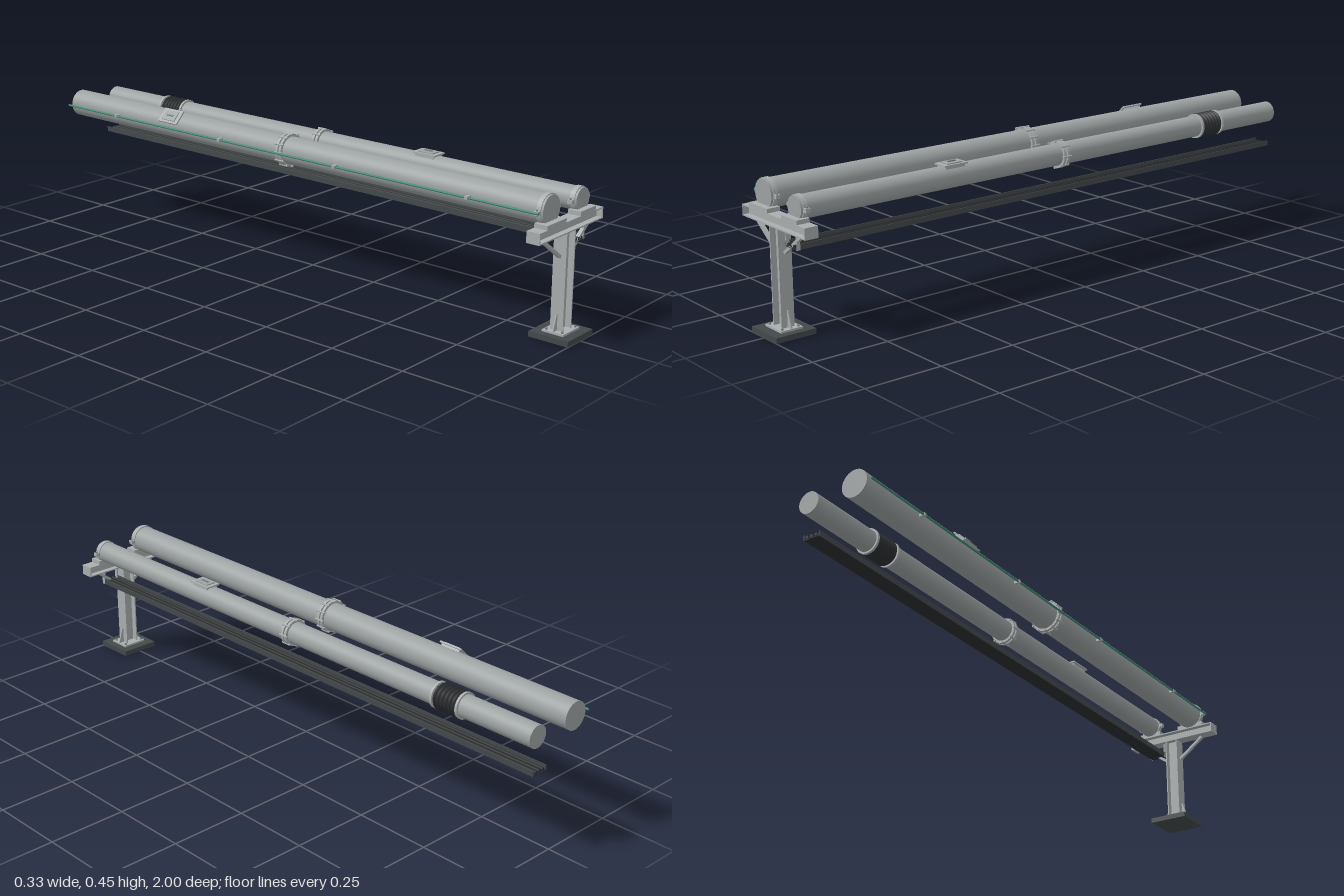
import * as THREE from 'three';

const mat = (name, color) => {
  const m = new THREE.MeshStandardMaterial({ color });
  m.name = name;
  return m;
};

export function createModel() {
  const root = new THREE.Group();
  const pipeGrey = mat('pipe grey', 0x9da2a2);
  const steel = mat('galvanised steel', 0xa9aeae);
  const boltGrey = mat('bolt grey', 0x7e8384);
  const padDark = mat('dark concrete', 0x43494b);
  const rubber = mat('black rubber', 0x2b2d2f);
  const green = mat('green conduit', 0x3f8a73);

  const add = (parent, name, geo, m, x = 0, y = 0, z = 0) => {
    const mesh = new THREE.Mesh(geo, m);
    mesh.name = name;
    mesh.position.set(x, y, z);
    parent.add(mesh);
    return mesh;
  };
  const group = (name, x = 0, y = 0, z = 0, parent = root) => {
    const g = new THREE.Group();
    g.name = name;
    g.position.set(x, y, z);
    parent.add(g);
    return g;
  };
  const box = (w, h, d) => new THREE.BoxGeometry(w, h, d);
  const rodZ = (r, len, seg = 48) => new THREE.CylinderGeometry(r, r, len, seg).rotateX(Math.PI / 2);
  const zc = 0.934;

  // Foundation and column
  const post = group('supportPost', 0, 0, zc);
  add(post, 'foundationPad', box(0.132, 0.017, 0.132), padDark, 0, 0.0085);
  add(post, 'basePlate', box(0.086, 0.006, 0.072), steel, 0, 0.02);
  add(post, 'columnWeb', box(0.038, 0.294, 0.005), steel, 0, 0.17);
  const tri = new THREE.Shape([[0, 0.023], [0.02, 0.023], [0.004, 0.075], [0, 0.075]]
    .map(p => new THREE.Vector2(...p)));
  for (const s of [-1, 1]) {
    add(post, 'columnFlange', box(0.004, 0.294, 0.043), steel, s * 0.021, 0.17);
    const gusset = new THREE.ExtrudeGeometry(tri, { depth: 0.004, bevelEnabled: false });
    gusset.translate(0.023, 0, -0.002);
    if (s < 0) gusset.rotateY(Math.PI);
    add(post, 'gusset', gusset, steel);
    for (const t of [-1, 1])
      add(post, 'anchorBolt', new THREE.CylinderGeometry(0.004, 0.004, 0.006, 6), boltGrey, s * 0.034, 0.025, t * 0.027);
    // Diagonal brace under the beam
    const brace = add(post, 'brace', box(0.112, 0.009, 0.012), steel, s * 0.07, 0.279, 0);
    brace.rotation.z = s * Math.atan2(0.067, 0.09);
  }

  // Cross beam
  const beam = group('crossBeam', 0, 0.3345, zc);
  add(beam, 'beamWeb', box(0.326, 0.03, 0.005), steel);
  for (const s of [-1, 1]) {
    add(beam, 'beamFlange', box(0.326, 0.004, 0.043), steel, 0, s * 0.0155);
    add(beam, 'beamEndPlate', box(0.003, 0.035, 0.044), steel, s * 0.1635);
  }

  // Pipe with its saddle, strap and bolted joint
  const makePipe = (name, x, y, r, bolts) => {
    const g = group(name, x, y);
    add(g, 'pipe', rodZ(r, 1.936, 64), pipeGrey, 0, 0, -0.032);
    add(g, 'saddle', box(r * 2 + 0.01, 0.013, 0.043), steel, 0, 0.3585 - y, zc);
    add(g, 'strap', rodZ(r + 0.003, 0.015), steel, 0, 0, 0.922);
    for (const s of [-1, 1]) {
      add(g, 'strapEar', box(0.014, 0.012, 0.015), steel, s * (r + 0.007), 0, 0.922);
      add(g, 'strapBolt', new THREE.CylinderGeometry(0.003, 0.003, 0.02, 6), boltGrey, s * (r + 0.009), 0, 0.922);
      add(g, 'jointFlange', rodZ(r + 0.008, 0.009), steel, 0, 0, -0.032 + s * 0.007);
    }
    for (let i = 0; i < bolts; i++) {
      const a = (i / bolts) * Math.PI * 2;
      add(g, 'jointBolt', rodZ(0.0035, 0.034, 6), steel,
        Math.cos(a) * (r + 0.0075), Math.sin(a) * (r + 0.0075), -0.032);
    }
    return g;
  };
  const large = makePipe('largePipe', -0.079, 0.396, 0.044, 12);
  const small = makePipe('smallPipe', 0.084, 0.389, 0.035, 8);

  // Access hatches, tilted around the pipe axis
  const hatch = (parent, r, z, angle) => {
    const g = group('accessHatch', 0, 0, z, parent);
    g.rotation.z = angle;
    add(g, 'hatchNeck', box(0.042, 0.012, 0.07), steel, 0, r - 0.003);
    add(g, 'hatchLid', box(0.052, 0.005, 0.084), steel, 0, r + 0.004);
    add(g, 'hatchPanel', box(0.036, 0.003, 0.056), pipeGrey, 0, r + 0.008);
    add(g, 'hatchHandle', box(0.005, 0.004, 0.028), boltGrey, 0, r + 0.011);
  };
  hatch(large, 0.044, -0.52, Math.PI / 4);
  hatch(small, 0.035, 0.39, 0);

  // Rubber expansion bellows
  const profile = [];
  for (let i = 0; i <= 48; i++)
    profile.push(new THREE.Vector2(0.0385 - 0.003 * Math.cos((i / 48) * Math.PI * 12), -0.043 + (0.086 * i) / 48));
  add(small, 'bellows', new THREE.LatheGeometry(profile, 48).rotateX(Math.PI / 2), rubber, 0, 0, -0.69);
  for (const s of [-1, 1])
    add(small, 'bellowsFlange', rodZ(0.041, 0.008), steel, 0, 0, -0.69 + s * 0.048);

  // Conduit clipped along the large pipe
  add(large, 'conduit', rodZ(0.0035, 1.93, 12), green, -0.058, 0, -0.035);
  for (const z of [-0.76, -0.28, 0.2, 0.69])
    add(large, 'conduitClip', box(0.02, 0.009, 0.01), steel, -0.053, 0, z);

  // Cable tray hung below the beam
  const tray = group('cableTray', 0.0655, 0, -0.03);
  add(tray, 'trayFloor', box(0.056, 0.002, 1.94), rubber, 0, 0.27);
  for (const s of [-1, 1]) {
    add(tray, 'trayRail', box(0.003, 0.017, 1.94), padDark, s * 0.0275, 0.2775);
    add(tray, 'trayHanger', box(0.004, 0.05, 0.012), steel, s * 0.0275, 0.293, zc + 0.03);
  }
  for (const x of [-0.015, 0, 0.015])
    add(tray, 'cable', rodZ(0.0048, 1.94, 12), rubber, x, 0.277);

  return root;
}
